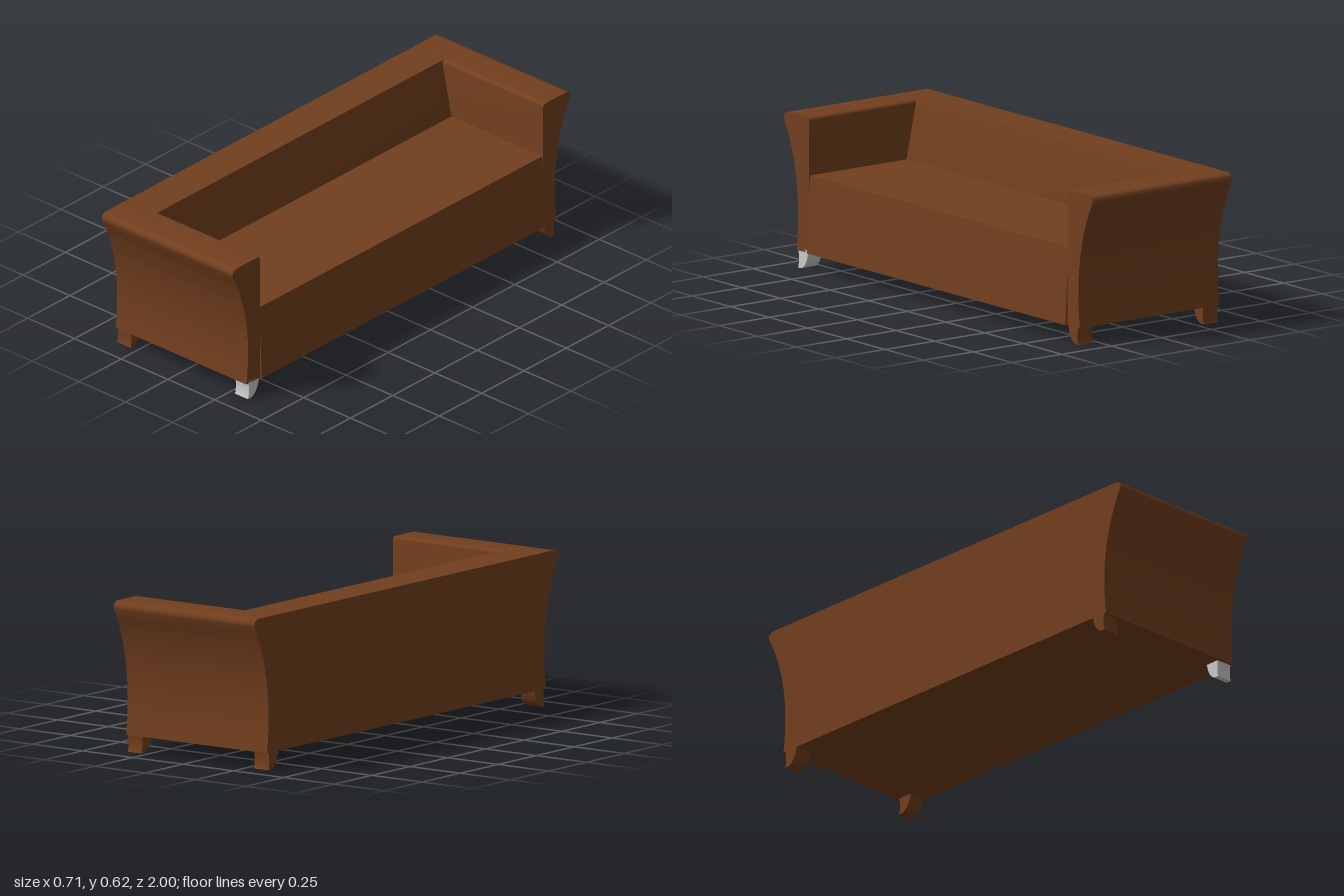
import * as THREE from 'three';
import { toCreasedNormals } from 'three/addons/utils/BufferGeometryUtils.js';

const brown = new THREE.MeshStandardMaterial({ color: 0x733f1e });
const grey = new THREE.MeshStandardMaterial({ color: 0xcccccc });

const BACK = -0.355, FRONT = 0.345, BASE = 0.07, TOP = 0.62;

function extrude(shape, depth) {
  const geo = new THREE.ExtrudeGeometry(shape, { depth, bevelEnabled: false, curveSegments: 12 });
  return toCreasedNormals(geo, 0.6);
}

function polygon(points) {
  return new THREE.Shape(points.map(([x, y]) => new THREE.Vector2(x, y)));
}

// Profile (outward, up) swept along x from x0 to x1, on the +z or -z end
function sweepAlongX(name, shape, x0, x1, side, material) {
  const geo = extrude(shape, x1 - x0);
  geo.rotateY(-side * Math.PI / 2);
  geo.translate(side > 0 ? x1 : x0, 0, 0);
  const mesh = new THREE.Mesh(geo, material);
  mesh.name = name;
  return mesh;
}

// Profile (x, y) swept along z, centred
function sweepAlongZ(name, shape, halfLength) {
  const geo = extrude(shape, 2 * halfLength);
  geo.translate(0, 0, -halfLength);
  const mesh = new THREE.Mesh(geo, brown);
  mesh.name = name;
  return mesh;
}

// Flared armrest with a rolled top
function armShape() {
  const s = new THREE.Shape();
  s.moveTo(0.838, BASE);
  s.lineTo(0.917, BASE);
  s.bezierCurveTo(0.895, 0.23, 0.905, 0.42, 0.998, 0.59);
  s.quadraticCurveTo(1.003, 0.618, 0.97, TOP);
  s.lineTo(0.855, TOP);
  s.quadraticCurveTo(0.838, TOP, 0.838, 0.603);
  s.closePath();
  return s;
}

// Small foot curving outward towards the floor
function footShape() {
  const s = new THREE.Shape();
  s.moveTo(0.842, BASE + 0.01);
  s.quadraticCurveTo(0.85, 0.01, 0.89, 0);
  s.lineTo(0.908, 0);
  s.quadraticCurveTo(0.897, 0.03, 0.907, BASE + 0.01);
  s.closePath();
  return s;
}

export function createModel() {
  const sofa = new THREE.Group();
  sofa.name = 'sofa';

  // Seat block with a slightly sloped front
  sofa.add(sweepAlongZ('seat', polygon([
    [-0.2, BASE], [0.355, BASE], [0.341, 0.385], [-0.2, 0.385],
  ]), 0.837));

  // Backrest with a leaning inner face
  sofa.add(sweepAlongZ('backrest', polygon([
    [BACK, BASE], [-0.145, BASE], [-0.145, 0.385], [-0.195, TOP], [BACK, TOP],
  ]), 0.86));

  // Armrests and feet, mirrored to both ends
  for (const side of [1, -1]) {
    const end = side > 0 ? 'left' : 'right';
    sofa.add(sweepAlongX(end + 'Armrest', armShape(), BACK, FRONT, side, brown));
    sofa.add(sweepAlongX(end + 'FrontFoot', footShape(), 0.275, FRONT, side, side > 0 ? grey : brown));
    sofa.add(sweepAlongX(end + 'BackFoot', footShape(), BACK, -0.283, side, brown));
  }
  return sofa;
}
